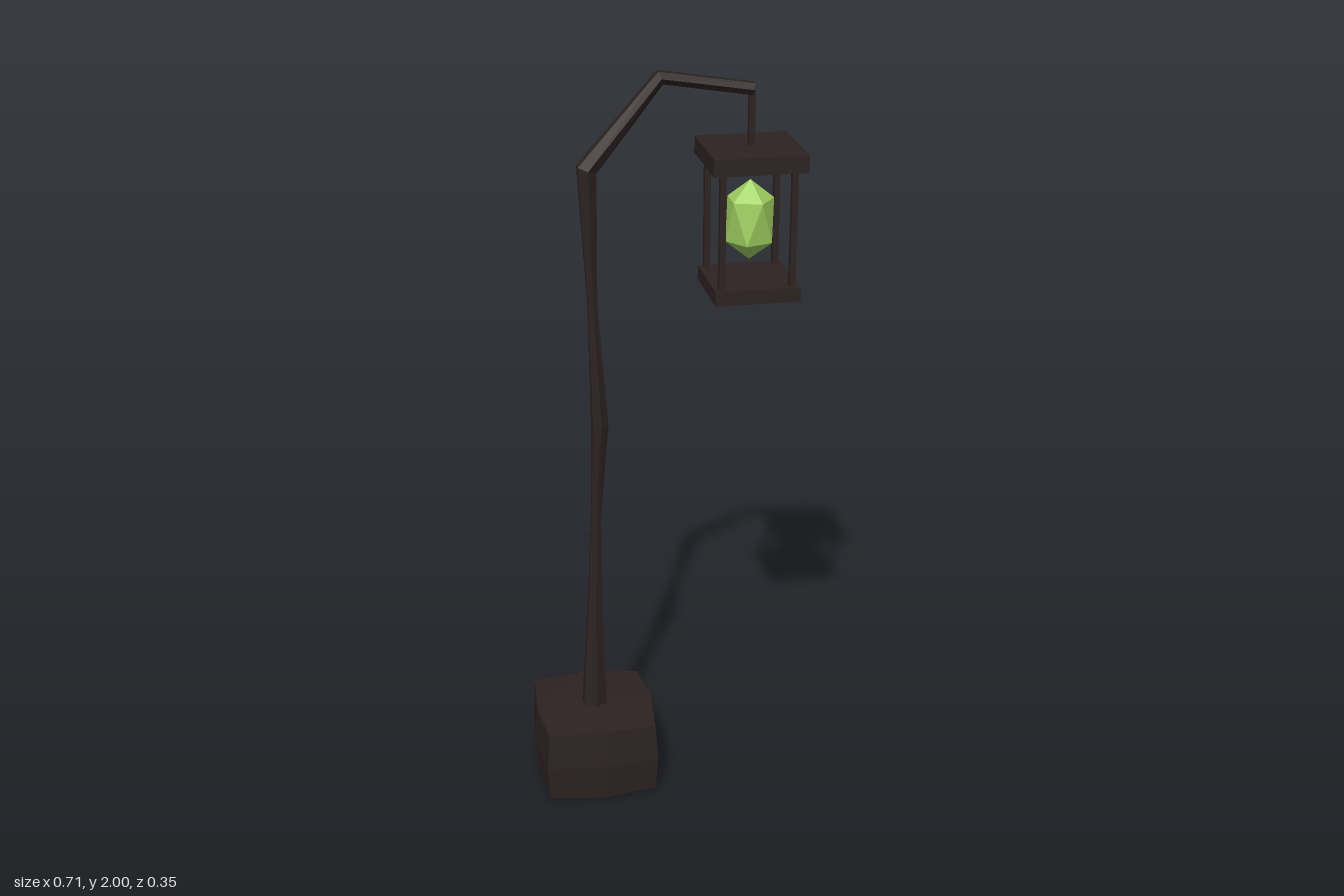
import * as THREE from 'three';
import { ConvexGeometry } from 'three/addons/geometries/ConvexGeometry.js';

// Six-sided tube through stations [x, y, tangent angle in degrees, half thickness, half depth]
function sweptPost(stations) {
  const pos = [], idx = [], n = 6;
  for (const [x, y, deg, a, d] of stations) {
    const t = THREE.MathUtils.degToRad(deg + 90);
    for (const [u, w] of [[0, 1], [1, 0.5], [1, -0.5], [0, -1], [-1, -0.5], [-1, 0.5]]) {
      pos.push(x + Math.cos(t) * u * a, y + Math.sin(t) * u * a, w * d);
    }
  }
  const last = (stations.length - 1) * n;
  for (let s = 0; s < last; s += n) {
    for (let i = 0; i < n; i++) {
      const j = (i + 1) % n;
      idx.push(s + i, s + n + j, s + j, s + i, s + n + i, s + n + j);
    }
  }
  for (let i = 1; i < n - 1; i++) {
    idx.push(0, i, i + 1, last, last + i + 1, last + i);
  }
  const g = new THREE.BufferGeometry();
  g.setAttribute('position', new THREE.Float32BufferAttribute(pos, 3));
  g.setIndex(idx);
  const flat = g.toNonIndexed();
  flat.computeVertexNormals();
  return flat;
}

// Box whose faces bulge outwards in the middle
function bulgedBlock() {
  const g = new THREE.BoxGeometry(2, 2, 2, 2, 2, 2).toNonIndexed();
  const p = g.attributes.position;
  for (let i = 0; i < p.count; i++) {
    const x = p.getX(i), y = p.getY(i), z = p.getZ(i);
    const mx = 1 - Math.abs(x), my = 1 - Math.abs(y), mz = 1 - Math.abs(z);
    p.setXYZ(i,
      x * (0.148 + 0.007 * my + 0.015 * mz),
      y * (0.101 + 0.005 * mx + 0.005 * mz),
      z * (0.15 + 0.007 * my + 0.016 * mx));
  }
  g.computeVertexNormals();
  return g;
}

// Twelve-point gem: two tips and two twisted rings of five
function crystalGeometry(r, h, ring) {
  const pts = [new THREE.Vector3(0, h, 0), new THREE.Vector3(0, -h, 0)];
  for (let i = 0; i < 5; i++) {
    const a = (i * Math.PI * 2) / 5;
    pts.push(new THREE.Vector3(r * Math.cos(a), ring, r * Math.sin(a)));
    pts.push(new THREE.Vector3(-r * Math.cos(a), -ring, -r * Math.sin(a)));
  }
  return new ConvexGeometry(pts);
}

export function createModel() {
  const root = new THREE.Group();
  root.name = 'lampPost';

  const wood = new THREE.MeshStandardMaterial({ color: 0x2d2222, flatShading: true });
  wood.name = 'darkWood';
  const glow = new THREE.MeshStandardMaterial({ color: 0xa0d060, flatShading: true });
  glow.name = 'greenCrystal';

  const add = (parent, name, geometry, material, x = 0, y = 0, z = 0) => {
    const m = new THREE.Mesh(geometry, material);
    m.name = name;
    m.position.set(x, y, z);
    parent.add(m);
    return m;
  };

  // Foot block
  add(root, 'base', bulgedBlock(), wood, -0.188, 0.111, 0);

  // Crooked post with its bent arm
  add(root, 'postAndArm', sweptPost([
    [-0.187, 0.2, 90, 0.033, 0.037],
    [-0.181, 0.55, 90, 0.018, 0.019],
    [-0.175, 0.8, 90, 0.013, 0.014],
    [-0.161, 1.07, 90, 0.021, 0.032],
    [-0.176, 1.4, 90, 0.012, 0.013],
    [-0.186, 1.76, 70, 0.025, 0.029],
    [0, 1.983, 20, 0.017, 0.026],
    [0.236, 1.945, -10, 0.015, 0.022],
  ]), wood);

  // Hanging lantern
  const lantern = new THREE.Group();
  lantern.name = 'lantern';
  lantern.position.x = 0.234;
  root.add(lantern);

  add(lantern, 'hanger', new THREE.BoxGeometry(0.016, 0.16, 0.016), wood, 0, 1.865, 0);
  add(lantern, 'roofPlate', new THREE.BoxGeometry(0.242, 0.045, 0.242), wood, 0, 1.778, 0);
  add(lantern, 'floorPlate', new THREE.BoxGeometry(0.222, 0.038, 0.222), wood, 0, 1.435, 0);
  for (const x of [-1, 1]) {
    for (const z of [-1, 1]) {
      add(lantern, 'cornerBar', new THREE.BoxGeometry(0.016, 0.32, 0.016), wood, x * 0.092, 1.606, z * 0.092);
    }
  }
  add(lantern, 'crystal', crystalGeometry(0.063, 0.106, 0.055), glow, 0, 1.607, 0);

  return root;
}
